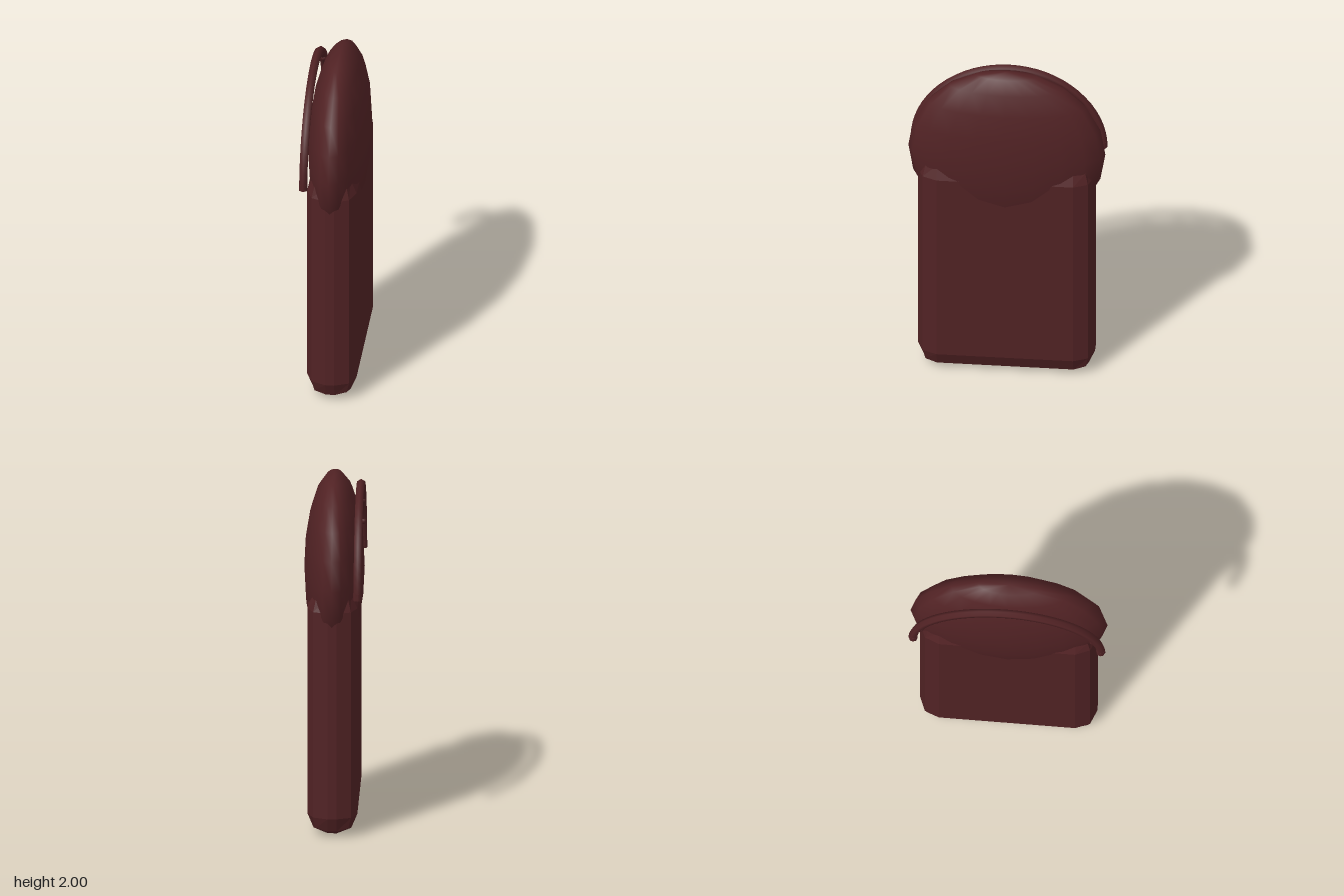
import * as THREE from 'three';
import { RoundedBoxGeometry } from 'three/addons/geometries/RoundedBoxGeometry.js';

export function createModel() {
  const model = new THREE.Group();
  const maroon = new THREE.MeshStandardMaterial({ color: 0x512224 });
  maroon.name = 'dark maroon';

  const add = (name, geometry, x, y, z, parent = model) => {
    const mesh = new THREE.Mesh(geometry, maroon);
    mesh.name = name;
    mesh.position.set(x, y, z);
    parent.add(mesh);
    return mesh;
  };

  // Tall slab with faceted, bevelled edges
  const slab = new RoundedBoxGeometry(0.28, 1.435, 1, 1, 0.115);
  slab.computeVertexNormals();
  add('slab', slab, 0, 1.435 / 2, 0);

  // Flattened smooth dome sunk into the top of the slab
  const dome = new THREE.SphereGeometry(1, 20, 10);
  dome.scale(0.17, 0.54, 0.556);
  add('dome', dome, 0, 1.46, 0);

  // Thin arched rail along one side
  const rail = new THREE.Group();
  rail.name = 'sideRail';
  rail.position.set(-0.145, 1.41, 0);
  model.add(rail);

  const squash = 0.955;
  const arch = new THREE.TorusGeometry(0.531, 0.025, 6, 32, Math.PI);
  arch.rotateY(Math.PI / 2);
  arch.scale(1, squash, 1);
  add('railArch', arch, 0, 0, 0, rail);

  // Small studs under the rail
  const stud = new THREE.SphereGeometry(0.02, 8, 6);
  for (let degrees = 20; degrees <= 160; degrees += 20) {
    const a = THREE.MathUtils.degToRad(degrees);
    add('railStud', stud, 0, Math.sin(a) * 0.515 * squash, Math.cos(a) * 0.515, rail);
  }

  // End caps closing the rail
  const cap = new THREE.CylinderGeometry(0.025, 0.025, 0.04, 8);
  for (const side of [-1, 1]) add('railEnd', cap, 0, 0.02, side * 0.529, rail);

  return model;
}
